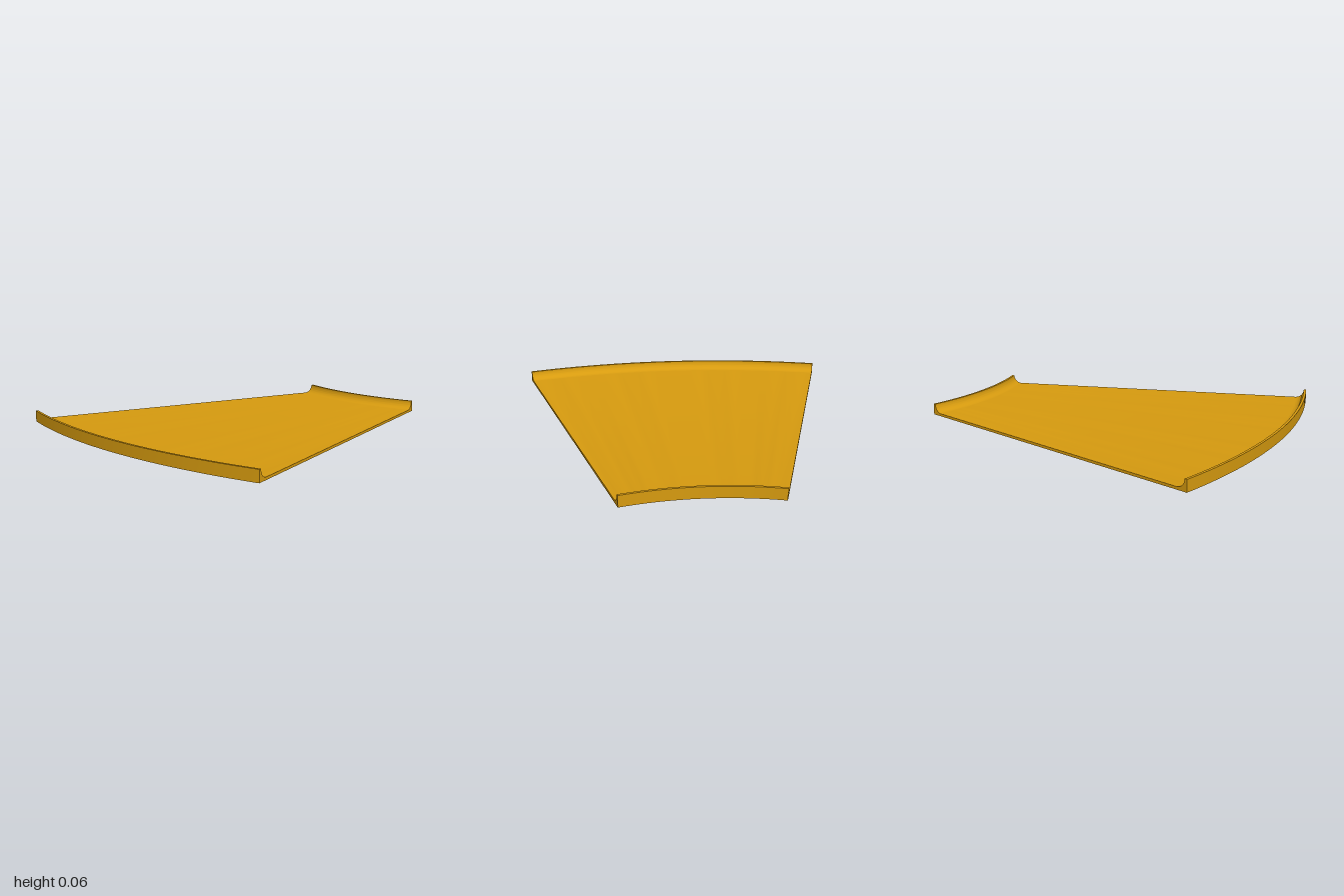
import * as THREE from 'three';
import { toCreasedNormals } from 'three/addons/utils/BufferGeometryUtils.js';

const HALF_ANGLE = THREE.MathUtils.degToRad(15.8);
const APEX_Z = -2.478; // centre of both arcs
const OUTER_R = 1 - APEX_Z;
const INNER_R = (-1 - APEX_Z) / Math.cos(HALF_ANGLE);
const FLOOR = 0.015, HEIGHT = 0.065, LIP = 0.015;
const FILLET = HEIGHT - FLOOR;

// Radial cross-section: thin floor with a filleted lip at both ends
function trayProfile() {
  const s = new THREE.Shape();
  s.moveTo(INNER_R, 0);
  s.lineTo(OUTER_R, 0);
  s.lineTo(OUTER_R, HEIGHT);
  s.lineTo(OUTER_R - LIP, HEIGHT);
  s.absarc(OUTER_R - LIP - FILLET, HEIGHT, FILLET, 0, -Math.PI / 2, true);
  s.lineTo(INNER_R + LIP + FILLET, FLOOR);
  s.absarc(INNER_R + LIP + FILLET, HEIGHT, FILLET, -Math.PI / 2, -Math.PI, true);
  s.lineTo(INNER_R, HEIGHT);
  s.closePath();
  return s;
}

// Extrude the section, then bend its straight depth into an arc about the apex
function sectorGeometry() {
  const geo = new THREE.ExtrudeGeometry(trayProfile(), {
    depth: 1, steps: 32, curveSegments: 10, bevelEnabled: false,
  });
  const pos = geo.attributes.position;
  for (let i = 0; i < pos.count; i++) {
    const r = pos.getX(i);
    const phi = HALF_ANGLE * (1 - 2 * pos.getZ(i));
    pos.setXYZ(i, r * Math.sin(phi), pos.getY(i), APEX_Z + r * Math.cos(phi));
  }
  return toCreasedNormals(geo, Math.PI / 6);
}

export function createModel() {
  const group = new THREE.Group();
  group.name = 'curvedTraySegment';
  const material = new THREE.MeshStandardMaterial({ color: 0xd79b0f });
  const tray = new THREE.Mesh(sectorGeometry(), material);
  tray.name = 'lippedSectorPanel';
  group.add(tray);
  return group;
}
